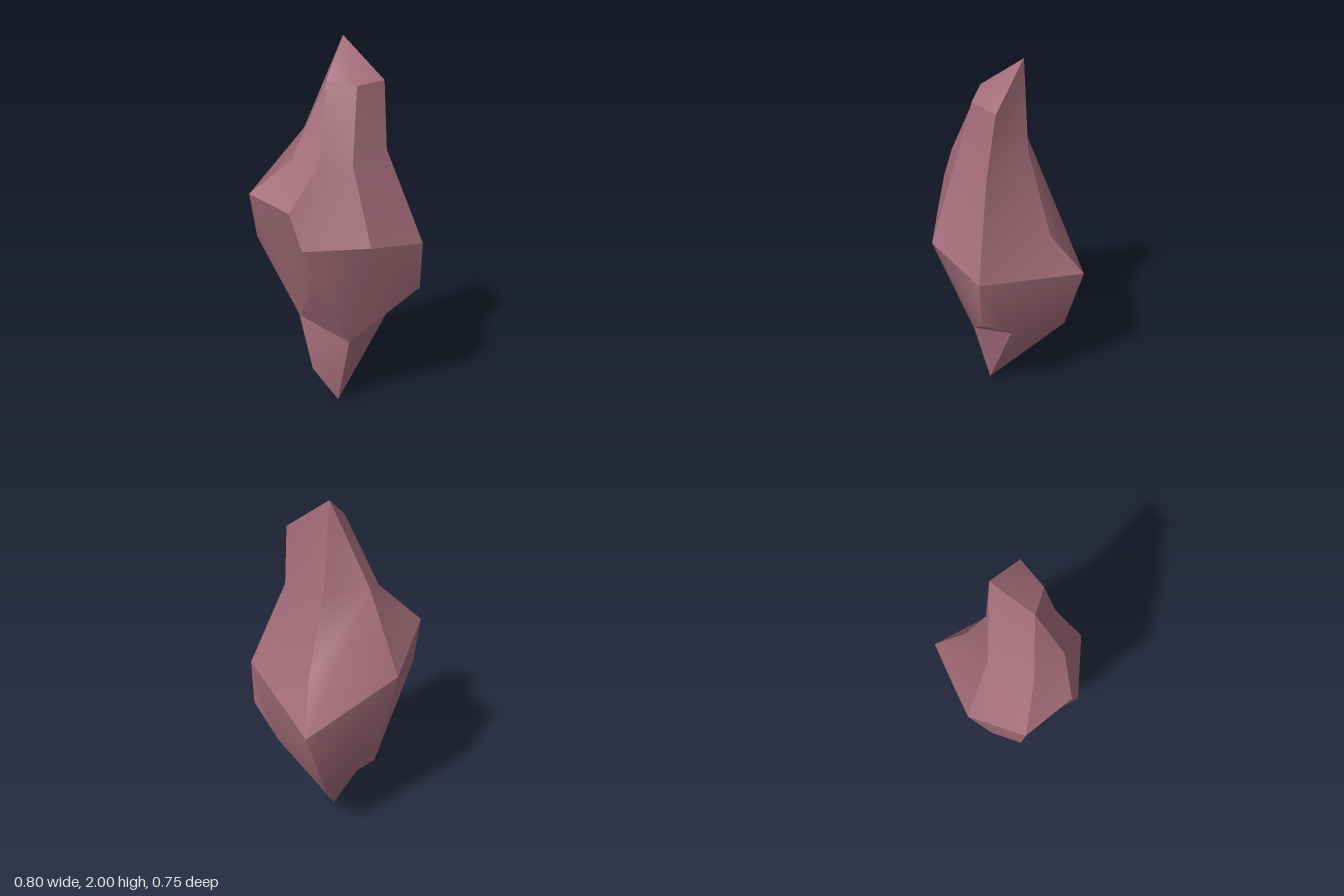
import * as THREE from 'three';
import { mergeGeometries } from 'three/addons/utils/BufferGeometryUtils.js';

// Named corners of the shard, from tip to foot
const corners = {
  // tip and crown
  T: [0.09, 2, -0.07], A: [0.163, 1.8, 0.166], B: [-0.02, 1.8, 0.166], C: [-0.11, 1.82, 0.04],
  // neck ring
  A2: [0.145, 1.45, 0.21], B2: [-0.097, 1.42, 0.226], N: [-0.235, 1.43, 0.134],
  M: [-0.25, 1.41, -0.067], L: [-0.06, 1.51, -0.205], K: [0.13, 1.51, -0.07], O: [0.27, 1.055, -0.108],
  // waist ring
  F: [0.27, 0.95, 0.362], E: [-0.102, 1.022, 0.374], D: [-0.361, 1, 0.145], J: [-0.386, 1.19, 0.074],
  I: [-0.402, 1.215, -0.235], H: [-0.102, 1.055, -0.376], G: [0.4, 0.83, -0.234],
  // lower ring and foot
  P: [0.27, 0.693, 0.348], Q: [0.27, 0.548, 0.15], R: [-0.05, 0.396, 0.15], S: [0.27, 0.433, -0.23],
  X: [-0.265, 0.8, 0.147], Z: [-0.36, 0.97, -0.232], Y: [-0.09, 0.44, -0.23],
  W: [-0.185, 0.505, -0.1], V: [-0.165, 0.21, -0.02], U: [-0.04, 0, 0.045],
};

// Each facet is one or more triangle fans, counter-clockwise from outside
const facets = [
  ['T C B A'],                // crown
  ['B2 E F A2 A B'],          // upper front
  ['B2 B C N J D E'],         // upper front, right corner
  ['M I J N C'],              // upper right side
  ['L H I M C T'],            // upper back, right corner
  ['L T K O G H'],            // upper back
  ['K T A A2', 'F G O K A2'], // upper left side
  ['Q U S G F P'],            // lower left side
  ['E D X R P F'],            // lower front
  ['P R Q'], ['X W R'],       // undercuts
  ['R U Q'], ['R W V U'],     // foot front
  ['S U V Y H G'],            // lower back
  ['H Y Z I'],                // narrow back facet
  ['W X D J I Z Y V'],        // lower right side
];

// One facet: corners are shared inside it, so it shades softly but keeps hard borders
function facetGeometry(fanTexts) {
  const fans = fanTexts.map((text) => text.split(' '));
  const names = [...new Set(fans.flat())];
  const index = [];
  for (const fan of fans) {
    const ids = fan.map((name) => names.indexOf(name));
    for (let i = 1; i < ids.length - 1; i++) index.push(ids[0], ids[i], ids[i + 1]);
  }
  const geometry = new THREE.BufferGeometry();
  const positions = names.flatMap((name) => corners[name]);
  geometry.setAttribute('position', new THREE.Float32BufferAttribute(positions, 3));
  geometry.setIndex(index);
  geometry.computeVertexNormals();
  return geometry;
}

export function createModel() {
  const model = new THREE.Group();
  model.name = 'rockShard';
  const stone = new THREE.MeshStandardMaterial({ color: 0xa56e7c });
  stone.name = 'dusty rose stone';
  const shard = new THREE.Mesh(mergeGeometries(facets.map(facetGeometry)), stone);
  shard.name = 'shard';
  model.add(shard);
  return model;
}
